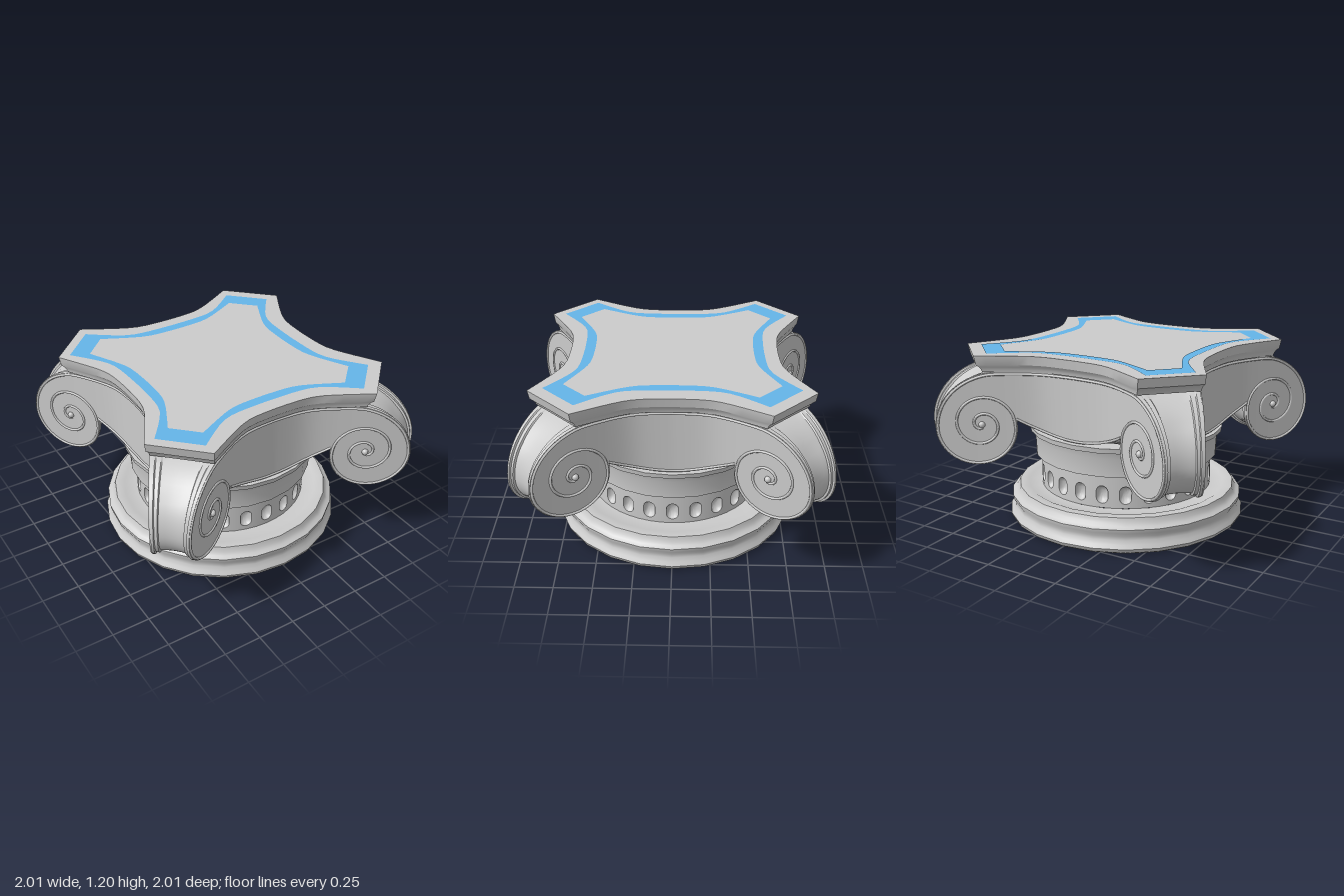
import * as THREE from 'three';
import { toCreasedNormals } from 'three/addons/utils/BufferGeometryUtils.js';
import { ParametricGeometry } from 'three/addons/geometries/ParametricGeometry.js';

const stone = new THREE.MeshStandardMaterial({ color: 0xcccccc, side: THREE.DoubleSide });
const blue = new THREE.MeshStandardMaterial({ color: 0x65b5e9, side: THREE.DoubleSide });
const { lerp } = THREE.MathUtils;

function add(parent, name, geometry, material = stone) {
  const mesh = new THREE.Mesh(geometry, material);
  mesh.name = name;
  parent.add(mesh);
  return mesh;
}

// Surface from a rule (u, v) -> [x, y, z], with sharp edges kept
function surface(rule, nu, nv, crease = 0.5) {
  const g = new ParametricGeometry((u, v, p) => p.set(...rule(u, v)), nu, nv);
  return toCreasedNormals(g, crease);
}

function lathe(profile) {
  const pts = profile.map(([r, y]) => new THREE.Vector2(r, y));
  return toCreasedNormals(new THREE.LatheGeometry(pts, 24), 0.8);
}

// Flat in the middle, bending at x0 into a straight slope
function knee(x, x0, b) {
  const h = (t) => 0.31 * (t - x0 + Math.hypot(t - x0, b));
  return h(Math.abs(x)) - h(0);
}

// Four-sided plan with hollow sides and cut corners at (cx, cz)
function hollowPlan(mid, cx, cz, bend, n = 20) {
  const x0 = cx * bend, b = cx * 0.15;
  const scale = (cz - mid) / knee(cx, x0, b);
  const pts = [];
  for (let side = 0; side < 4; side++) {
    for (let i = 0; i <= n; i++) {
      const x = cx * (1 - (2 * i) / n);
      const p = new THREE.Vector2(x, mid + scale * knee(x, x0, b));
      pts.push(p.rotateAround(new THREE.Vector2(), (side * Math.PI) / 2));
    }
  }
  return pts;
}

// Curved face of one side: depth z at a given x
const faceZ = (x) => 0.64 + knee(x, 0.25, 0.12);
const root = (t) => Math.sqrt(Math.max(0, 1 - t * t));
const scrollTop = (x) => (x < 0.47 ? 1.09 : 0.72 + 0.37 * root((x - 0.47) / 0.37));
const scrollBottom = (x) => 0.72 - 0.25 * root((x - 0.6125) / 0.2275);
const panelBottom = (x) => 0.655 + 0.115 * (x / 0.39) ** 2;

// Outer edge of a scroll: over the top, round the end and up the inside
function scrollEdge(t) {
  const a = Math.PI / 2 - t * Math.PI * 1.6;
  if (a > 0) return [0.47 + 0.37 * Math.cos(a), 0.72 + 0.37 * Math.sin(a)];
  return [0.6125 + 0.2275 * Math.cos(a), 0.72 + 0.25 * Math.sin(a)];
}

// Raised bead from the panel middle round the scroll and into its eye
function spiralBead(s) {
  const pts = [];
  const put = (x, y) => pts.push(new THREE.Vector3(s * x, y, faceZ(x)));
  for (let i = 0; i < 6; i++) put(i * 0.08, 1.075);
  for (let i = 1; i <= 24; i++) {
    const [x, y] = scrollEdge((i / 24) * 0.93);
    put(0.61 + (x - 0.61) * 0.95, 0.73 + (y - 0.73) * 0.96);
  }
  for (let i = 1; i <= 36; i++) {
    const a = Math.PI - (i / 36) * Math.PI * 3.6;
    const r = 0.19 * (1 - i / 36) ** 1.1 + 0.02;
    put(0.585 + r * 0.9 * Math.cos(a), 0.74 + r * Math.sin(a));
  }
  return new THREE.TubeGeometry(new THREE.CatmullRomCurve3(pts), 150, 0.009, 6);
}

// One hollow side with its two scroll faces
function makeSide() {
  const side = new THREE.Group();
  side.name = 'scrollSide';
  add(side, 'sidePanel', surface((u, v) => {
    const x = 0.39 * (2 * u - 1);
    return [x, lerp(panelBottom(x), 1.09, v), faceZ(x)];
  }, 24, 2));
  // Underside running back from the panel to the bell
  add(side, 'panelUnderside', surface((u, v) => {
    const x = 0.39 * (2 * u - 1);
    return [x, lerp(panelBottom(x), 0.648, v), lerp(faceZ(x), 0.5, v)];
  }, 24, 1));
  const rim = [];
  for (let i = -10; i <= 10; i++) {
    const x = i * 0.039;
    rim.push(new THREE.Vector3(x, panelBottom(x) + 0.008, faceZ(x)));
  }
  add(side, 'panelRim', new THREE.TubeGeometry(new THREE.CatmullRomCurve3(rim), 24, 0.009, 6));
  for (const s of [-1, 1]) {
    add(side, 'scrollFace', surface((u, v) => {
      const x = 0.6125 - 0.2275 * Math.cos(Math.PI * u);
      return [s * x, lerp(scrollBottom(x), scrollTop(x), v), faceZ(x)];
    }, 24, 3));
    add(side, 'scrollBead', spiralBead(s));
    const eye = add(side, 'scrollEye', new THREE.SphereGeometry(0.022, 12, 8));
    eye.position.set(s * 0.585, 0.74, faceZ(0.585));
  }
  return side;
}

// Band across a corner, joining the scroll faces of two sides: [across, inset]
const half = [[0, 0], [0.07, 0], [0.09, 0.014], [0.17, 0.014], [0.19, 0.028], [0.34, 0.034]];
const bandProfile = [...half, [0.5, 0.036], ...half.map(([t, d]) => [1 - t, d]).reverse()];

function scrollBand() {
  const n = bandProfile.length - 1;
  return surface((u, v) => {
    const [t, inset] = bandProfile[Math.round(v * n)];
    const [ex, ey] = scrollEdge(u);
    const k = 1 - (inset * Math.min(1, u * 6)) / 0.28;
    const cx = 0.59, cy = 0.74;
    const across = (x) => [lerp(x, faceZ(x), t), lerp(faceZ(x), x, t)];
    const [px, pz] = across(ex), [qx, qz] = across(cx);
    return [qx + (px - qx) * k, cy + (ey - cy) * k, qz + (pz - qz) * k];
  }, 48, n);
}

// Neck wall panel with a rounded opening, bent to the neck radius
const R = 0.59, step = Math.PI / 12;
function pillOutline(w, h) {
  const pts = [];
  for (let i = 0; i < 20; i++) {
    const a = ((i + 0.5) / 20) * Math.PI * 2;
    pts.push(new THREE.Vector2(w * Math.cos(a), w * Math.sin(a) + Math.sign(Math.sin(a)) * (h - w)));
  }
  return pts;
}
function neckPanel() {
  const w = (R * step) / 2;
  const shape = new THREE.Shape([[-w, 0.22], [0, 0.22], [w, 0.22], [w, 0.45], [0, 0.45], [-w, 0.45]]
    .map(([x, y]) => new THREE.Vector2(x, y)));
  shape.holes.push(new THREE.Path(pillOutline(0.04, 0.06).map((p) => new THREE.Vector2(p.x, p.y + 0.31))));
  const g = new THREE.ShapeGeometry(shape);
  const pos = g.attributes.position, nor = g.attributes.normal;
  for (let i = 0; i < pos.count; i++) {
    const a = pos.getX(i) / R;
    pos.setXYZ(i, R * Math.sin(a), pos.getY(i), R * Math.cos(a));
    nor.setXYZ(i, Math.sin(a), 0, Math.cos(a));
  }
  return g;
}
function pocketBowl() {
  const loop = pillOutline(0.04, 0.06);
  return surface((u, v) => {
    const p = loop[Math.round(u * 20) % 20];
    const k = Math.cos((v * Math.PI) / 2), a = (p.x * k) / R;
    const r = R - 0.04 * Math.sin((v * Math.PI) / 2);
    return [r * Math.sin(a), 0.31 + p.y * k, r * Math.cos(a)];
  }, 20, 4, 1);
}

export function createModel() {
  const model = new THREE.Group();
  model.name = 'columnCapital';

  // Hollow round base, and flared bell closed at the top
  add(model, 'baseRing', lathe([[0.795, 0], [0.812, 0.012], [0.82, 0.035], [0.805, 0.06], [0.79, 0.085],
    [0.787, 0.11], [0.8, 0.135], [0.803, 0.16], [0.778, 0.172], [0.762, 0.19], [0.755, 0.21],
    [0.75, 0.222], [0.69, 0.222], [0.68, 0.217], [0.585, 0.217]]));
  add(model, 'bell', lathe([[0.59, 0.445], [0.63, 0.445], [0.63, 0.47], [0.635, 0.57], [0.645, 0.61],
    [0.665, 0.615], [0.67, 0.648], [0, 0.648]]));

  // Neck with a ring of rounded pockets
  const panel = neckPanel(), bowl = pocketBowl();
  for (let i = 0; i < 24; i++) {
    add(model, 'neckWall', panel).rotation.y = i * step;
    add(model, 'neckPocket', bowl).rotation.y = i * step;
  }

  // Four scrolled sides and the corner bands
  const band = scrollBand();
  for (let i = 0; i < 4; i++) {
    const side = makeSide();
    side.rotation.y = (i * Math.PI) / 2;
    add(side, 'scrollBand', band);
    model.add(side);
  }

  // Top slab with moulded edge
  const plan = hollowPlan(0.685, 0.595, 0.885, 0.42);
  const levels = [[1.09, 0.95], [1.105, 0.955], [1.125, 0.968], [1.14, 0.988], [1.2, 1]];
  add(model, 'slabEdge', surface((u, v) => {
    const p = plan[Math.round(u * plan.length) % plan.length];
    const [y, k] = levels[Math.round(v * 4)];
    return [p.x * k, y, p.y * k];
  }, plan.length, 4));
  for (const [y, k] of [levels[0], levels[4]]) {
    const cap = new THREE.ShapeGeometry(new THREE.Shape(plan)).rotateX(-Math.PI / 2);
    add(model, 'slabFace', cap.scale(k, 1, k).translate(0, y, 0));
  }

  // Inlaid coloured border
  const border = new THREE.Shape(hollowPlan(0.593, 0.58, 0.795, 0.58));
  border.holes.push(new THREE.Path(hollowPlan(0.525, 0.525, 0.675, 0.45)));
  const inlay = new THREE.ShapeGeometry(border).rotateX(-Math.PI / 2);
  add(model, 'topBorder', inlay.translate(-0.015, 1.202, 0), blue);

  return model;
}
